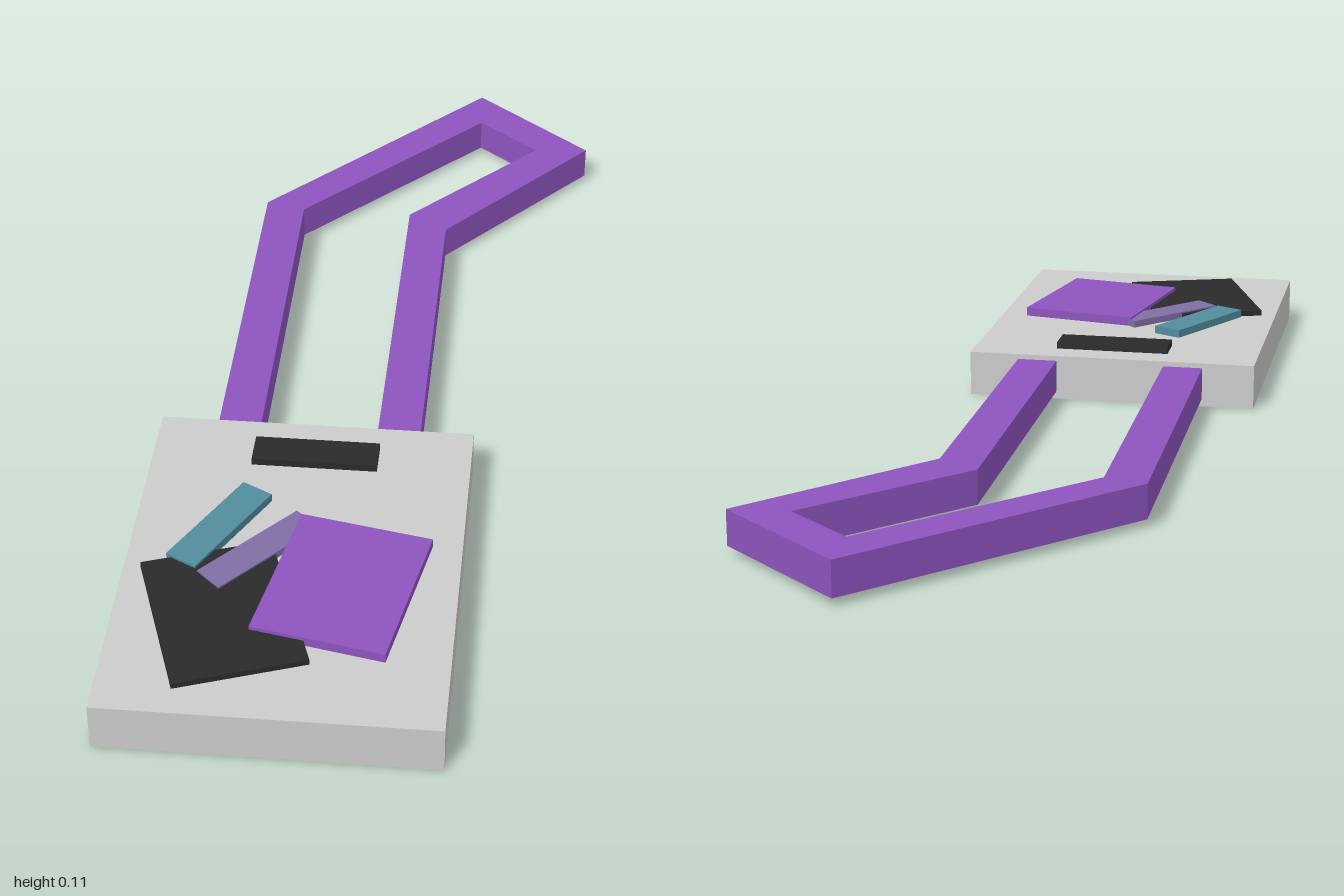
import * as THREE from 'three';

// Extrudes a plan outline of [x, z] corners from height y0 up to y1.
function slab(name, corners, y0, y1, color) {
  const shape = new THREE.Shape(corners.map(([x, z]) => new THREE.Vector2(x, -z)));
  const geometry = new THREE.ExtrudeGeometry(shape, { depth: y1 - y0, bevelEnabled: false });
  geometry.rotateX(-Math.PI / 2).translate(0, y0, 0);
  const mesh = new THREE.Mesh(geometry, new THREE.MeshStandardMaterial({ color }));
  mesh.name = name;
  return mesh;
}

const rect = (x0, x1, z0, z1) => [[x0, z0], [x0, z1], [x1, z1], [x1, z0]];

export function createModel() {
  const group = new THREE.Group();
  group.name = 'badgeOnStrap';
  const purple = 0x8d54be, black = 0x2a2a2a;

  group.add(
    // Badge body
    slab('badgeBody', rect(-0.385, 0.2, 0.235, 1), 0, 0.09, 0xcccccc),

    // Bent strap loop, its two ends meeting the back edge of the badge
    slab('strap', [
      [-0.28, 0.24], [-0.285, -0.525], [0.145, -1], [0.385, -0.795], [0.1, -0.455], [0.1, 0.24],
      [0.02, 0.24], [0.02, -0.505], [0.275, -0.785], [0.15, -0.89], [-0.205, -0.505], [-0.2, 0.24],
    ], 0.015, 0.08, purple),

    // Slot marking
    slab('slot', rect(-0.2, 0.03, 0.295, 0.36), 0.085, 0.104, black),

    // Overlapping tilted plates on the face
    slab('blackPlate', [[-0.355, 0.655], [-0.255, 0.945], [-0.035, 0.868], [-0.135, 0.578]], 0.085, 0.101, black),
    slab('mauveBar', [[-0.1, 0.497], [-0.253, 0.67], [-0.21, 0.71], [-0.057, 0.537]], 0.085, 0.104, 0x806ea4),
    slab('tealBar', [[-0.205, 0.43], [-0.313, 0.633], [-0.258, 0.662], [-0.15, 0.459]], 0.085, 0.106, 0x518d9d),
    slab('purplePlate', [[-0.09, 0.51], [-0.145, 0.805], [0.09, 0.852], [0.147, 0.557]], 0.085, 0.108, purple),
  );
  return group;
}
